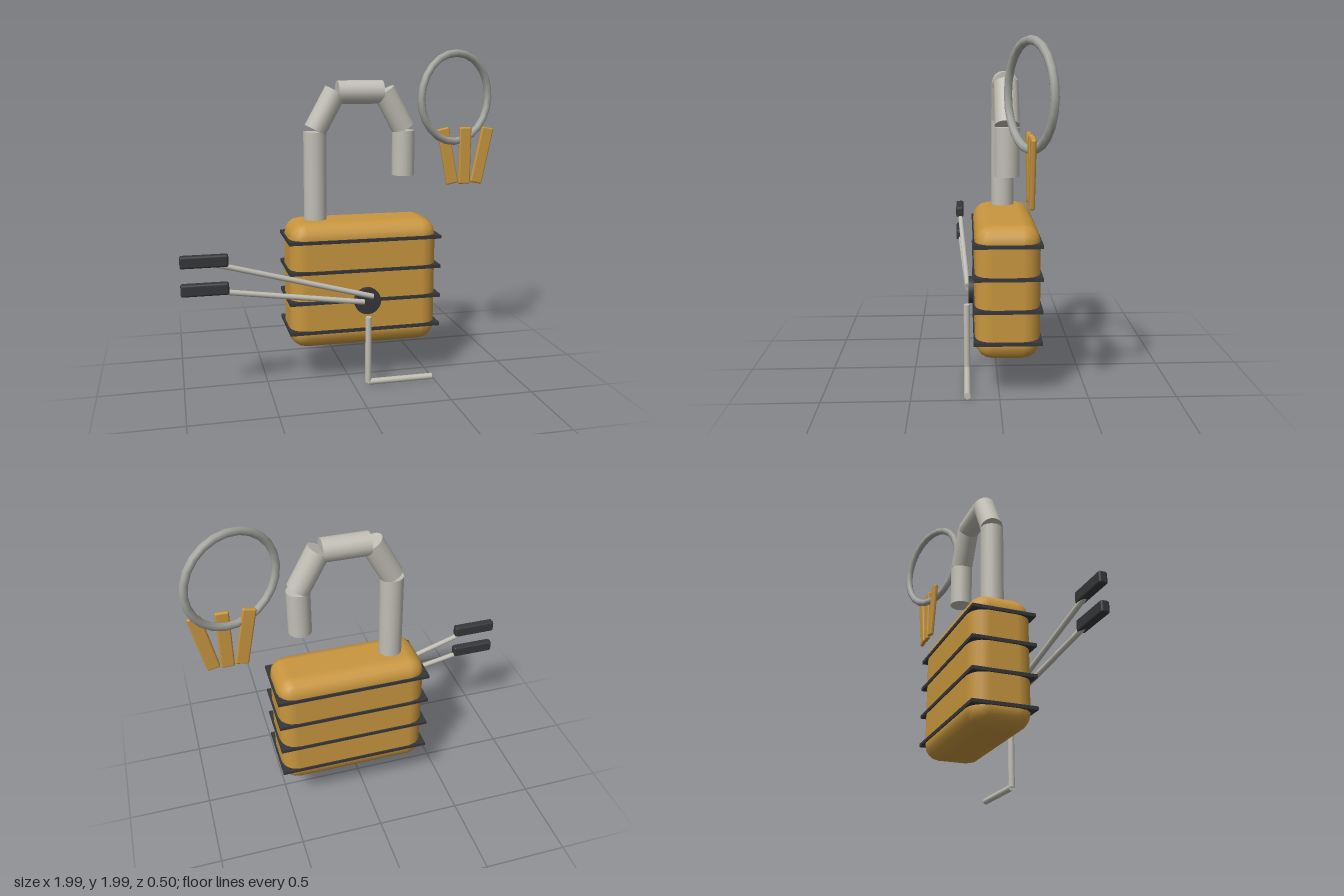
import * as THREE from 'three';
import { RoundedBoxGeometry } from 'three/addons/geometries/RoundedBoxGeometry.js';

const material = (name, color) => {
  const m = new THREE.MeshStandardMaterial({ color });
  m.name = name;
  return m;
};

export function createModel() {
  const model = new THREE.Group();
  model.name = 'padlockWithPicks';
  const brass = material('brass', 0xc8963e);
  const steel = material('steel', 0xc0beb4);
  const ringSteel = material('ringSteel', 0xa3a39f);
  const black = material('black', 0x36373a);

  const add = (name, geometry, mat, x, y, z) => {
    const mesh = new THREE.Mesh(geometry, mat);
    mesh.name = name;
    mesh.position.set(x, y, z);
    model.add(mesh);
    return mesh;
  };

  // Straight round bar between two points
  const bar = (name, from, to, radius, sides = 16) => {
    const a = new THREE.Vector3(...from);
    const b = new THREE.Vector3(...to);
    const dir = b.clone().sub(a);
    const mid = a.clone().add(b).multiplyScalar(0.5);
    const mesh = add(name, new THREE.CylinderGeometry(radius, radius, dir.length(), sides), steel, mid.x, mid.y, mid.z);
    mesh.quaternion.setFromUnitVectors(new THREE.Vector3(0, 1, 0), dir.normalize());
  };

  // Lock body with square-cornered bands
  const cx = 0.083, cz = -0.045;
  add('lockBody', new RoundedBoxGeometry(0.9, 0.765, 0.365, 2, 0.1), brass, cx, 0.613, cz);
  for (let i = 0; i < 4; i++) {
    add('bodyBand', new THREE.BoxGeometry(0.92, 0.02, 0.38), black, cx, 0.342 + i * 0.182, cz);
  }

  // Open shackle in five straight pieces
  const r = 0.069;
  bar('shackleLongPost', [cx - 0.271, 0.95, cz], [cx - 0.271, 1.515, cz], r);
  bar('shackleShortPost', [cx + 0.271, 1.245, cz], [cx + 0.271, 1.515, cz], r);
  for (const s of [-1, 1]) {
    bar('shackleShoulder', [cx + s * 0.27, 1.524, cz], [cx + s * 0.146, 1.749, cz], r);
  }
  bar('shackleTop', [cx - 0.136, 1.743, cz], [cx + 0.136, 1.743, cz], r);

  // Keyhole disc on the front
  add('keyholeDisc', new THREE.CylinderGeometry(0.08, 0.08, 0.04, 20), black, 0.086, 0.524, 0.15)
    .rotation.x = Math.PI / 2;

  // Two picks with dark grips
  for (const [startX, startY, endY, gripY] of [[0.115, 0.555, 0.815, 0.838], [0.06, 0.524, 0.66, 0.677]]) {
    bar('pickRod', [startX, startY, 0.175], [-0.8, endY, 0.222], 0.016, 10);
    add('pickGrip', new RoundedBoxGeometry(0.267, 0.07, 0.05, 2, 0.012), black, -0.866, gripY, 0.224);
  }

  // Bent tension wrench
  bar('wrenchStem', [0.086, 0.43, 0.181], [0.086, 0.022, 0.181], 0.019, 10);
  bar('wrenchHandle', [0.086, 0.022, 0.181], [0.487, 0.022, 0.181], 0.019, 10);

  // Key ring turned slightly away, with three fanned key blanks
  add('keyRing', new THREE.TorusGeometry(0.27, 0.023, 8, 24), ringSteel, 0.717, 1.7, -0.138)
    .rotation.y = 0.36;
  for (const i of [-1, 0, 1]) {
    add('key', new RoundedBoxGeometry(0.077, 0.357, 0.026, 2, 0.01), brass, 0.787 + i * 0.113, 1.338, -0.138)
      .rotation.z = -0.2 * i;
  }

  return model;
}
